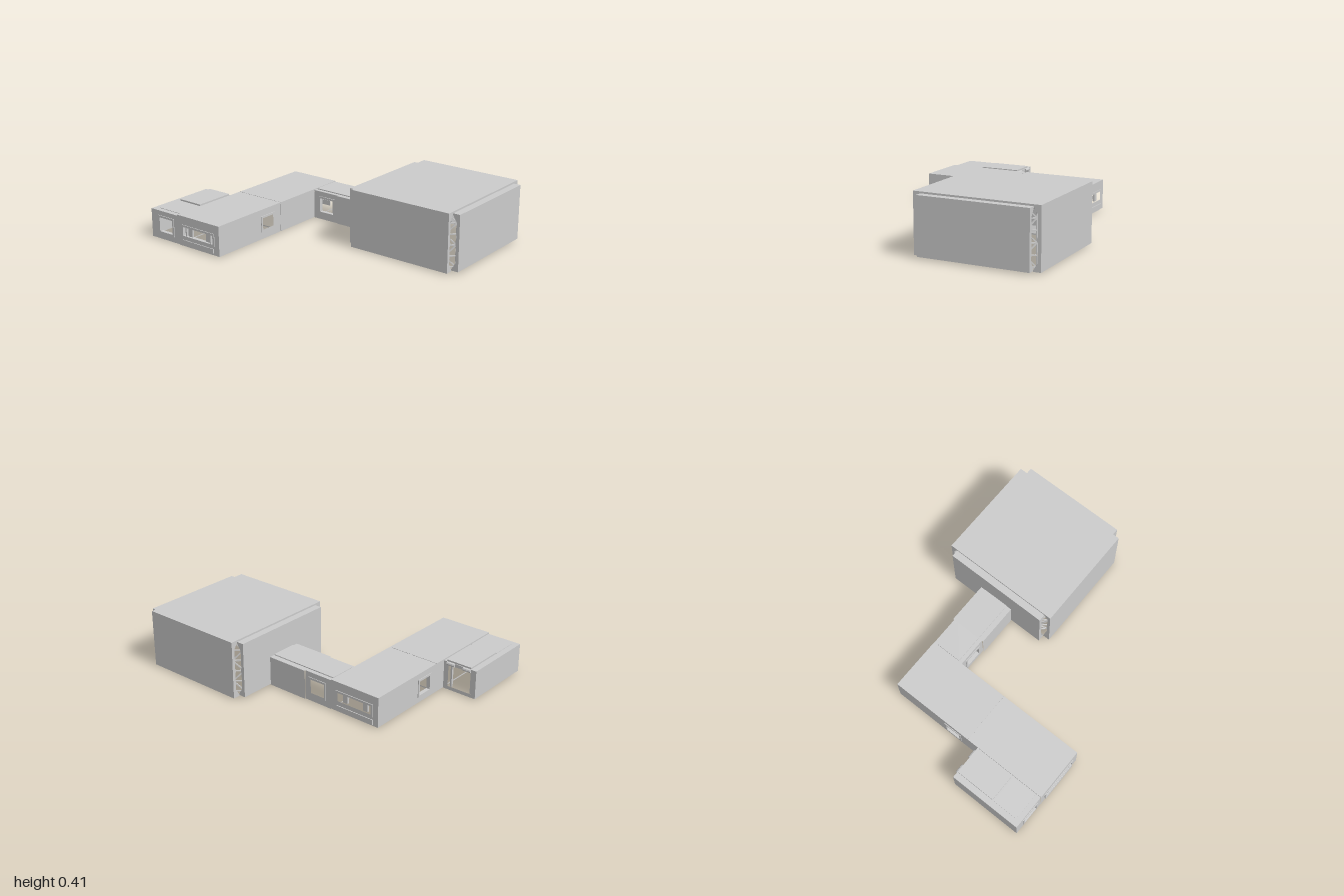
import * as THREE from 'three';

const grey = new THREE.MeshStandardMaterial({ color: 0xcccccc, flatShading: true });
const greyBoth = new THREE.MeshStandardMaterial({ color: 0xcccccc, flatShading: true, side: THREE.DoubleSide });

// Wall directions: turn about y, sign of the running axis, and outward axis
const FACING = {
  front: { turn: 0, s: 1, axis: 'z', out: 1 },
  back: { turn: Math.PI, s: -1, axis: 'z', out: -1 },
  right: { turn: Math.PI / 2, s: -1, axis: 'x', out: 1 },
  left: { turn: -Math.PI / 2, s: 1, axis: 'x', out: -1 },
};

function rectPoints(a0, a1, y0, y1, s) {
  return [[a0 * s, y0], [a1 * s, y0], [a1 * s, y1], [a0 * s, y1]].map(p => new THREE.Vector2(...p));
}

export function createModel() {
  const root = new THREE.Group();
  root.name = 'modularBase';

  function add(name, geometry, material = grey, parent = root) {
    const mesh = new THREE.Mesh(geometry, material);
    mesh.name = name;
    parent.add(mesh);
    return mesh;
  }

  // Box from its limits; drop lists faces left out (0 +x, 1 -x, 2 +y, 3 -y, 4 +z, 5 -z)
  function box(name, x0, x1, y0, y1, z0, z1, drop = [], parent = root) {
    const g = new THREE.BoxGeometry(x1 - x0, y1 - y0, z1 - z0);
    const index = Array.from(g.index.array);
    g.setIndex(index.filter((_, i) => !drop.includes(Math.floor(i / 6))));
    g.translate((x0 + x1) / 2, (y0 + y1) / 2, (z0 + z1) / 2);
    return add(name, g, grey, parent);
  }

  // Flat sheet or extruded panel with rectangular holes, seen from outside
  function panel(name, facing, at, rect, holes = [], depth = 0, material = grey) {
    const f = FACING[facing];
    const shape = new THREE.Shape(rectPoints(...rect, f.s));
    for (const h of holes) shape.holes.push(new THREE.Path(rectPoints(...h, f.s)));
    const g = depth
      ? new THREE.ExtrudeGeometry(shape, { depth, bevelEnabled: false })
      : new THREE.ShapeGeometry(shape);
    const mesh = add(name, g, material);
    mesh.rotation.y = f.turn;
    mesh.position[f.axis] = at;
    return mesh;
  }

  // Wall with framed windows
  function wall(name, facing, at, rect, windows = [], material = grey) {
    panel(name, facing, at, rect, windows, 0, material);
    const out = FACING[facing].out;
    for (const [a0, a1, y0, y1] of windows) {
      const m = 0.014;
      panel('windowFrame', facing, at - out * 0.022,
        [a0 - m, a1 + m, y0 - m, y1 + m], [[a0, a1, y0, y1]], 0.027);
    }
  }

  const Y0 = 0.012, Y1 = 0.205;
  const smallY = [0.06, 0.16], longWindow = [-0.695, -0.425, 0.08, 0.142];

  // Long hall and its end walls
  wall('hallFrontWall', 'front', 0.76, [-0.75, -0.37, Y0, Y1], [longWindow]);
  wall('hallBackWall', 'back', -0.465, [-0.75, -0.37, Y0, Y1], [longWindow]);
  wall('hallRightWall', 'right', -0.37, [-0.22, 0.76, Y0, Y1], [[0.225, 0.335, 0.07, 0.155]]);
  wall('hallLeftWall', 'left', -0.75, [-0.465, 0.23, Y0, Y1], [[-0.04, 0.07, ...smallY]]);

  // Upright panes set into the long windows
  for (const z of [0.735, -0.455]) {
    for (const x of [-0.64, -0.48]) {
      box('windowPane', x - 0.018, x + 0.018, 0.08, 0.142, z, z + 0.015);
    }
  }
  for (const x of [-0.67, -0.45]) box('windowMullion', x - 0.005, x + 0.005, 0.08, 0.142, 0.735, 0.76);

  // Hall floor and roof in two bays
  for (const [z0, z1] of [[-0.465, 0.143], [0.147, 0.76]]) {
    box('hallRoof', -0.75, -0.37, Y1 - 0.004, 0.216, z0, z1, [3]);
    box('hallFloor', -0.75, -0.37, 0.008, Y0, z0, z1, [2]);
    box('hallFloorPlate', -0.74, -0.38, 0, 0.008, z0 + 0.01, z1 - 0.01, [2]);
  }
  box('roofSeam', -0.75, -0.37, Y1, 0.213, 0.142, 0.148);
  box('wallSeam', -0.371, -0.367, Y0, Y1, 0.142, 0.152);
  for (let i = 0; i < 14; i++) {
    const x = -0.735 + i * 0.027;
    box('seamBolt', x - 0.004, x + 0.004, 0.212, 0.218, 0.141, 0.149);
  }

  // Raised outer plates on the hall ends
  panel('frontSillPlate', 'front', 0.76, [-0.7, -0.42, 0.014, 0.05], [], 0.006);
  panel('backSillPlate', 'back', -0.465, [-0.71, -0.42, 0.014, 0.05], [], 0.006);

  // Side annex with an open back end
  wall('annexFrontWall', 'front', 0.757, [-1, -0.75, Y0, Y1], [[-0.92, -0.8, ...smallY]]);
  wall('annexLeftWall', 'left', -1, [0.23, 0.757, Y0, Y1], [], greyBoth);
  panel('annexDoorFrame', 'back', 0.245, [-1, -0.75, Y0, Y1], [[-0.965, -0.785, 0.03, 0.185]], 0.015);
  box('annexRoof', -1, -0.75, Y1 - 0.004, 0.207, 0.23, 0.757, [3]);
  box('annexRoofHatch', -0.957, -0.77, 0.205, 0.218, 0.235, 0.525, [3]);
  box('annexRoofPanel', -0.957, -0.76, 0.205, 0.21, 0.535, 0.72, [3]);
  box('annexFloor', -1, -0.75, 0.006, Y0, 0.23, 0.757, [2]);
  box('annexFloorPlate', -0.96, -0.76, 0, 0.006, 0.25, 0.72, [2]);
  box('annexWallSeam', -1.0, -0.997, Y0, Y1, 0.526, 0.534);
  for (const x of [-0.93, -0.805]) {
    const hood = add('doorHood', new THREE.CylinderGeometry(0.012, 0.012, 0.06, 8));
    hood.rotation.z = Math.PI / 2;
    hood.position.set(x, 0.195, 0.23);
  }
  for (const x of [-0.945, -0.79]) box('doorPost', x - 0.006, x + 0.006, 0.012, 0.19, 0.26, 0.275);

  // Corridor: windowed section, then a slightly wider sleeve
  const corridorWindow = [-0.315, -0.2, ...smallY];
  wall('corridorFrontWall', 'front', -0.222, [-0.37, -0.155, Y0, Y1], [corridorWindow]);
  wall('corridorBackWall', 'back', -0.465, [-0.37, -0.155, Y0, Y1], [corridorWindow]);
  box('corridorRoof', -0.37, -0.155, Y1 - 0.004, 0.21, -0.465, -0.222, [3]);
  box('corridorRoofPanel', -0.365, -0.155, 0.208, 0.216, -0.435, -0.25, [3]);
  box('corridorFloor', -0.37, -0.155, 0.004, Y0, -0.465, -0.222, [2]);
  box('corridorSleeve', -0.158, 0.15, 0.006, 0.21, -0.475, -0.212, [0, 1]);
  box('sleeveRoofPanel', -0.158, 0.15, 0.21, 0.216, -0.435, -0.25, [3]);

  // Large hall: four chamfer-edged slabs around an open-cornered square
  const big = new THREE.Group();
  big.name = 'largeHall';
  big.position.set(0.5725, 0, -0.3425);
  root.add(big);
  const R = 0.4275, H = 0.3775;
  for (let i = 0; i < 4; i++) {
    const side = new THREE.Group();
    side.name = 'largeHallSide';
    side.rotation.y = i * Math.PI / 2;
    big.add(side);
    const lift = i % 2 ? 0 : 1; // front and back slabs are taller
    const y0 = 0.012 - lift * 0.006, y1 = 0.393 + lift * 0.012;
    const profile = new THREE.Shape([
      [R, y0], [R, y1], [R - 0.05, y1], [R - 0.05, y1 - 0.01], [R - 0.022, y1 - 0.055],
      [R - 0.022, 0.215], [R - 0.027, 0.205], [R - 0.027, 0.19], [R - 0.022, 0.18],
      [R - 0.022, y0 + 0.055], [R - 0.05, y0 + 0.01], [R - 0.05, y0],
    ].map(p => new THREE.Vector2(...p)));
    const g = new THREE.ExtrudeGeometry(profile, { depth: 2 * H, bevelEnabled: false });
    g.translate(0, 0, -H);
    g.rotateY(-Math.PI / 2);
    add('largeHallWall', g, grey, side);

    // Zigzag truss standing just inside each open corner
    const truss = new THREE.Group();
    truss.name = 'cornerTruss';
    truss.position.set(0.345, 0, 0.345);
    truss.rotation.y = Math.PI / 4;
    side.add(truss);
    const w = 0.038, step = 0.074;
    for (const s of [-1, 1]) box('trussPost', s * w - 0.004, s * w + 0.004, 0.015, 0.39, -0.004, 0.004, [], truss);
    for (let k = 0; k < 5; k++) {
      const y = 0.018 + k * step;
      box('trussRung', -w, w, y - 0.004, y + 0.004, -0.004, 0.004, [], truss);
      const brace = box('trussBrace', -0.052, 0.052, -0.004, 0.004, -0.004, 0.004, [], truss);
      brace.position.y = y + step / 2;
      brace.rotation.z = (k % 2 ? 1 : -1) * Math.atan2(step, 2 * w);
    }
  }

  // Large hall roof as two crossing plates
  box('roofPlateLong', -H, H, 0.395, 0.407, -R, R, [3], big);
  box('roofPlateWide', -R, R, 0.385, 0.395, -H, H, [3], big);

  // Large hall floor with a slot beside the corridor
  function floorPlate(name, hx, hz, y) {
    const shape = new THREE.Shape(rectPoints(-hx, hx, -hz, hz, 1));
    shape.holes.push(new THREE.Path(rectPoints(-0.335, -0.285, -0.13, 0.2, 1)));
    const g = new THREE.ShapeGeometry(shape);
    g.rotateX(Math.PI / 2);
    add(name, g, grey, big).position.y = y;
  }
  floorPlate('floorPlateLong', H, R, 0.005);
  floorPlate('floorPlateWide', R, H, 0.011);

  return root;
}
